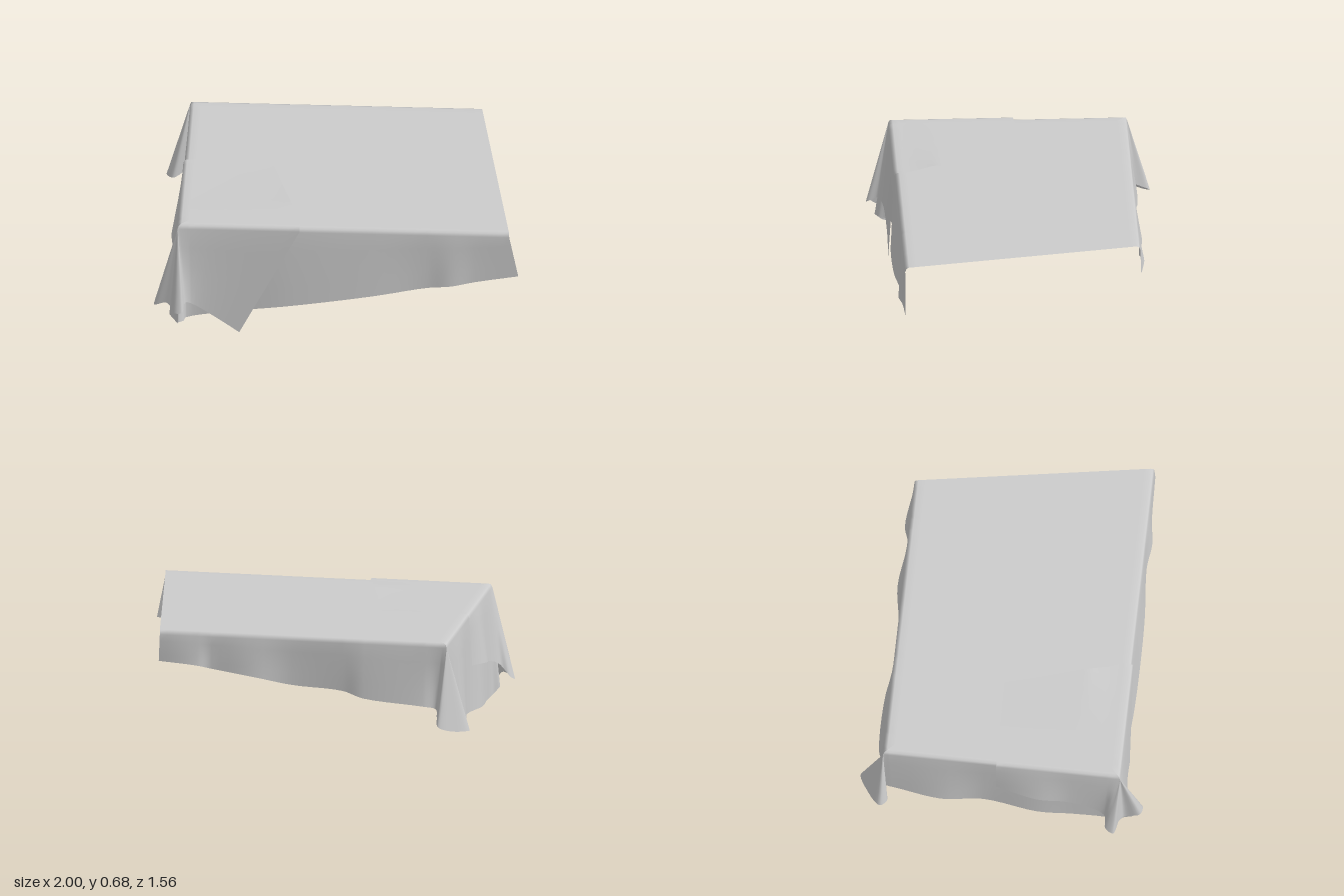
import * as THREE from 'three';

const mat = new THREE.MeshStandardMaterial({ color: 0xcccccc, side: THREE.DoubleSide });
const V = (x, y, z) => new THREE.Vector3(x, y, z);
const clamp = THREE.MathUtils.clamp;

// Smooth surface through rows of points (all rows the same length)
function sheet(name, rows) {
  const n = rows[0].length, index = [];
  for (let r = 0; r < rows.length - 1; r++) {
    for (let c = 0; c < n - 1; c++) {
      const a = r * n + c, b = a + n;
      index.push(a, b, a + 1, b, b + 1, a + 1);
    }
  }
  const geo = new THREE.BufferGeometry().setFromPoints(rows.flat());
  geo.setIndex(index);
  geo.computeVertexNormals();
  const mesh = new THREE.Mesh(geo, mat);
  mesh.name = name;
  return mesh;
}

// Hanging cloth: stations are [topX, topZ, bottomX, bottomY, bottomZ].
// The upper rows bend over the rounded table edge, the rest falls to the hem.
function skirt(name, stations, off, endX) {
  const SUB = 5, last = stations.length - 1;
  const hem = new THREE.CatmullRomCurve3(stations.map(s => V(s[2], s[3], s[4])));
  const bend = [[0.06, 0], [0.022, 0], [0.007, 0.006], [0, 0.024]];
  const rows = Array.from({ length: bend.length + 4 }, () => []);
  for (let i = 0; i <= last * SUB; i++) {
    const k = Math.min(Math.floor(i / SUB), last - 1), f = i / SUB - k;
    const tx = THREE.MathUtils.lerp(stations[k][0], stations[k + 1][0], f);
    const tz = THREE.MathUtils.lerp(stations[k][1], stations[k + 1][1], f);
    const bottom = hem.getPoint(i / (last * SUB));
    let edge;
    bend.forEach(([inset, drop], r) => {
      const z = clamp(tz, -0.655 - off + inset, 0.645 + off - inset);
      const end = (i === 0 || i === last * SUB) && tx > 0.7;
      const x = end ? endX(z) : Math.max(tx, -0.86 - off + inset);
      edge = V(x, 0.662 + off - drop, z);
      rows[r].push(edge);
    });
    for (let r = 1; r <= 4; r++) rows[bend.length + r - 1].push(edge.clone().lerp(bottom, r / 4));
  }
  return sheet(name, rows);
}

export function createModel() {
  const group = new THREE.Group();
  group.name = 'drapedCloth';
  const endX = z => 0.74 + (z + 0.655) * 0.162;

  // Flat top with a slanted open end
  const N = 8, top = [];
  for (let i = 0; i <= N; i++) {
    const z = THREE.MathUtils.lerp(-0.595, 0.585, i / N);
    top.push(Array.from({ length: N + 1 }, (_, j) => V(THREE.MathUtils.lerp(-0.8, endX(z), j / N), 0.662, z)));
  }
  group.add(sheet('clothTop', top));

  // Back flap, back corner fold, side flap, front corner fold, front flap
  const B = -0.655, L = -0.86, F = 0.645;
  const frontHem = (x, z) => [clamp(x, -0.83, 0.95), F, x, 0.08 + (x + 0.82) * 0.17, z];
  group.add(skirt('clothSkirt', [
    [0.74, B, 0.745, 0.49, -0.66],
    [0.53, B, 0.53, 0.48, -0.685],
    [0.45, B, 0.45, 0.46, -0.662],
    [0.2, B, 0.2, 0.43, -0.69],
    [0, B, 0, 0.39, -0.662],
    [-0.28, B, -0.28, 0.37, -0.662],
    [-0.4, B, -0.4, 0.34, -0.69],
    [-0.73, B, -0.73, 0.31, -0.69],
    [-0.83, B, -0.8, 0.29, -0.66],
    // back corner fold
    [L, B, -0.815, 0.26, -0.71],
    [L, B, -0.835, 0.22, -0.78],
    [L, B, -0.91, 0.19, -0.74],
    [L, B, -0.99, 0.18, -0.66],
    [L, B, -0.95, 0.18, -0.62],
    [L, B, -0.88, 0.2, -0.67],
    // side
    [L, -0.62, -0.88, 0.19, -0.6],
    [L, -0.33, -0.905, 0.15, -0.33],
    [L, -0.1, -0.872, 0.125, -0.1],
    [L, 0.2, -0.9, 0.09, 0.2],
    [L, 0.4, -0.885, 0.07, 0.4],
    [L, 0.6, -0.88, 0.05, 0.6],
    // front corner fold
    [L, F, -0.915, 0.09, 0.64],
    [L, F, -0.87, 0.05, 0.67],
    [L, F, -0.865, 0.09, 0.73],
    [L, F, -0.835, 0.09, 0.71],
    frontHem(-0.82, 0.655),
    frontHem(-0.55, 0.65),
    frontHem(-0.25, 0.67),
    frontHem(0.2, 0.672),
    frontHem(0.5, 0.652),
    frontHem(0.63, 0.668),
    frontHem(0.76, 0.652),
    frontHem(1, 0.645),
  ], 0, endX));

  // Second layer folded over the front corner: its hanging part
  const off = 0.009, L2 = L - off, F2 = F + off;
  group.add(skirt('overlaySkirt', [
    [L2, -0.03, -0.885, 0.38, -0.03],
    [L2, 0.2, -0.922, 0.34, 0.2],
    [L2, 0.38, -0.905, 0.3, 0.38],
    [L2, 0.58, -0.93, 0.23, 0.57],
    [L2, F2, -0.985, 0.16, 0.585],
    [L2, F2, -1, 0.14, 0.63],
    [L2, F2, -0.93, 0.17, 0.655],
    [L2, F2, -0.89, 0.13, 0.68],
    [L2, F2, -0.885, 0.17, 0.765],
    [L2, F2, -0.84, 0.18, 0.775],
    [L2, F2, -0.825, 0.21, 0.715],
    [-0.8, F2, -0.79, 0.19, 0.69],
    [-0.5, F2, -0.66, 0.095, 0.672],
    [-0.2, F2, -0.53, 0, 0.67],
  ], off, endX));

  // Top of the second layer, rows of [z, right edge x, height at right], with a small pucker
  const overlayRows = [[-0.035, -0.38, 0.667], [0.12, -0.34, 0.67], [0.38, -0.265, 0.681],
    [0.44, -0.25, 0.684], [0.52, -0.23, 0.672], [0.594, -0.2, 0.671]];
  group.add(sheet('overlayTop', overlayRows.map(([z, x, y]) =>
    [0, 0.35, 0.65, 0.85, 1].map(t => V(THREE.MathUtils.lerp(-0.81, x, t),
      THREE.MathUtils.lerp(0.671, y, t * t), z)))));
  return group;
}
